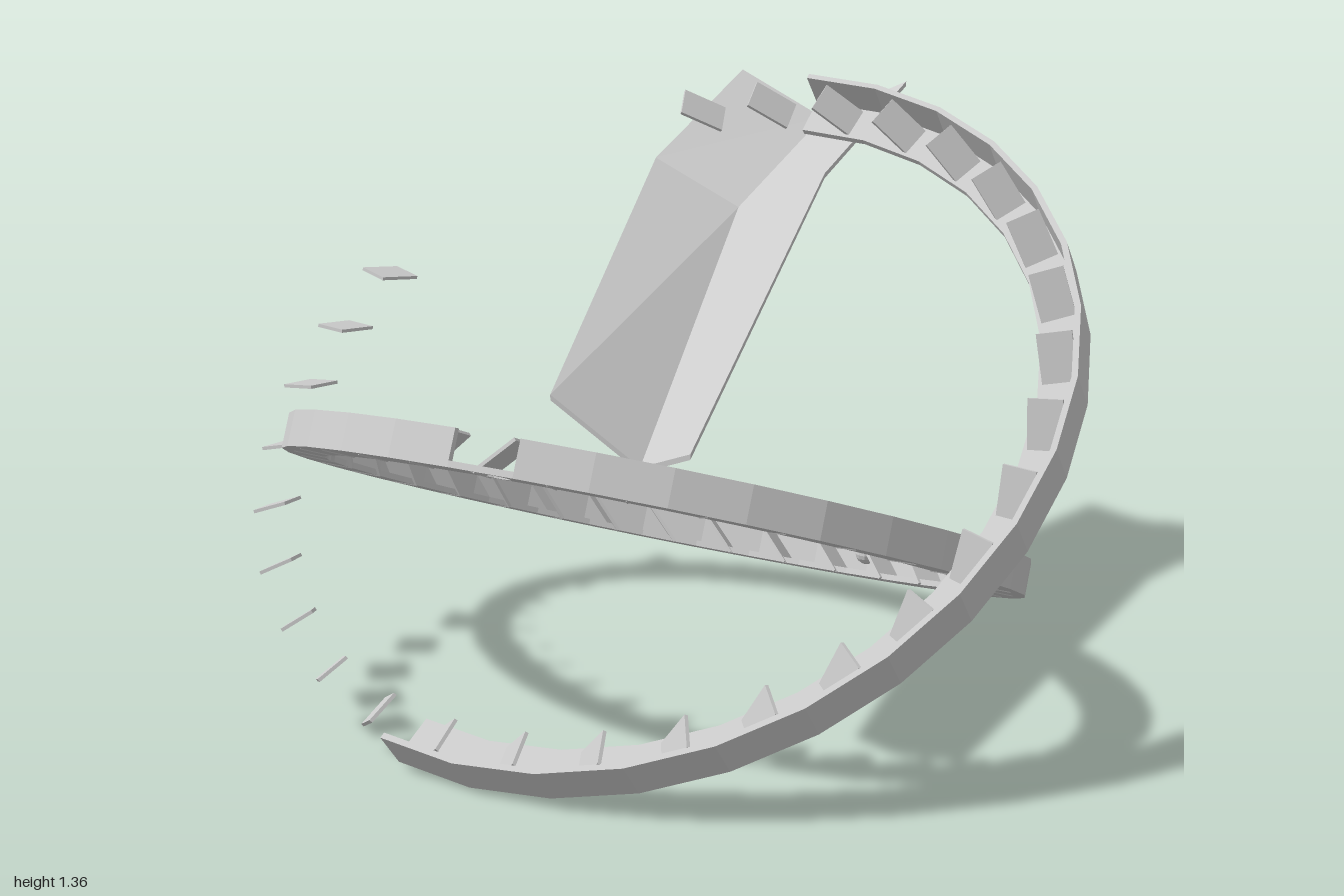
import * as THREE from 'three';

const RAD = Math.PI / 180;
const grey = new THREE.MeshStandardMaterial({ color: 0xcccccc, flatShading: true, side: THREE.DoubleSide });
grey.name = 'plain grey';

function addMesh(parent, geometry, name) {
  const mesh = new THREE.Mesh(geometry, grey);
  mesh.name = name;
  parent.add(mesh);
  return mesh;
}

// Grid of section points joined by quads
function loft(sections, closed) {
  const n = sections[0].length, index = [];
  const last = closed ? n : n - 1;
  for (let s = 0; s < sections.length - 1; s++) {
    for (let i = 0; i < last; i++) {
      const a = s * n + i, b = s * n + (i + 1) % n;
      index.push(a, b, a + n, b, b + n, a + n);
    }
  }
  if (closed) {
    const e = (sections.length - 1) * n;
    index.push(0, 2, 1, 0, 3, 2, e, e + 1, e + 2, e, e + 2, e + 3);
  }
  const g = new THREE.BufferGeometry();
  g.setAttribute('position', new THREE.Float32BufferAttribute(sections.flat(2), 3));
  g.setIndex(index);
  const flat = g.toNonIndexed();
  flat.computeVertexNormals();
  return flat;
}

// Faceted arc of rectangular section; angle runs from the rear toward -x
function arcBar(rOuter, rInner, yLow, yHigh, start, end, segments) {
  const sections = [];
  for (let s = 0; s <= segments; s++) {
    const a = (start + (end - start) * s / segments) * RAD;
    sections.push([[rOuter, yLow], [rOuter, yHigh], [rInner, yHigh], [rInner, yLow]]
      .map(([r, y]) => [-Math.sin(a) * r, y, -Math.cos(a) * r]));
  }
  return loft(sections, true);
}

// Tilted L-section track with slanted fins
function makeTrack(o) {
  const track = new THREE.Group();
  track.name = o.name;
  track.position.set(-0.015, o.y, o.z);
  track.rotation.x = o.tilt * RAD;
  const h = o.height / 2, t = 0.014;
  addMesh(track, arcBar(o.radius, o.radius - t, -h, h, o.start, o.end, o.segments), 'outerWall');
  addMesh(track, arcBar(o.radius - t, o.radius - o.depth, -h, -h + t, o.start, o.end, o.segments), 'trackFloor');
  const finGeometry = new THREE.BoxGeometry(0.008, 0.115, 0.08);
  for (let k = 0; k < 32; k++) {
    if (o.skip.includes(k)) continue;
    const pivot = new THREE.Group();
    pivot.rotation.y = (k + 0.5) * 11.25 * RAD;
    const fin = addMesh(pivot, finGeometry, 'fin');
    fin.position.z = -o.finRadius;
    fin.rotation.z = 45 * RAD;
    track.add(pivot);
  }
  return track;
}

export function createModel() {
  const model = new THREE.Group();
  model.name = 'marbleTrack';

  // Lower ring, nearly full, high at the front
  const lower = makeTrack({
    name: 'lowerRing', radius: 0.88, depth: 0.1, height: 0.083, y: 0.434, z: 0.088, tilt: -22.6,
    start: 190, end: 540, segments: 33, finRadius: 0.81, skip: [],
  });
  model.add(lower);

  // Floor plate with a drop hole, closing the gap in the lower ring
  const plate = new THREE.Shape([[0.88, 180], [0.88, 190], [0.78, 190], [0.78, 180]]
    .map(([r, a]) => new THREE.Vector2(-Math.sin(a * RAD) * r, Math.cos(a * RAD) * r)));
  const hole = new THREE.Path();
  hole.absarc(-Math.sin(185 * RAD) * 0.83, Math.cos(185 * RAD) * 0.83, 0.044, 0, Math.PI * 2, true);
  plate.holes.push(hole);
  const plateGeometry = new THREE.ExtrudeGeometry(plate, { depth: 0.014, bevelEnabled: false, curveSegments: 8 });
  plateGeometry.rotateX(-Math.PI / 2);
  addMesh(lower, plateGeometry, 'holePlate').position.y = -0.0415;

  // Upper half ring, high at the rear
  model.add(makeTrack({
    name: 'upperRing', radius: 1.015, depth: 0.11, height: 0.1, y: 0.69, z: 0.107, tilt: 39.2,
    start: -191.25, end: 0, segments: 17, finRadius: 0.95, skip: [2, 3, 4, 5],
  }));

  // Bent V-shaped chute: left rim, valley, right rim at each station
  const stations = [
    [[-0.36, 1.33, -0.925], [-0.12, 1.22, -0.925], [0.12, 1.33, -0.925]],
    [[-0.36, 1.155, -0.48], [-0.12, 1.05, -0.48], [0.12, 1.155, -0.48]],
    [[0.12, 0.865, 0.735], [0.31, 0.725, 0.69], [0.43, 0.77, 0.69]],
  ];
  const chute = new THREE.Group();
  chute.name = 'chute';
  for (const side of [0, 1]) {
    const sections = stations.map((p) => {
      const [a, b] = [p[side], p[side + 1]];
      const low = ([x, y, z]) => [x, y - 0.012, z];
      return [a, b, low(b), low(a)];
    });
    addMesh(chute, loft(sections, true), side ? 'rightChuteWing' : 'leftChuteWing');
  }
  model.add(chute);

  // Marble resting low on the rear of the lower ring
  addMesh(model, new THREE.SphereGeometry(0.028, 10, 8), 'marble').position.set(0.15, 0.135, -0.685);

  return model;
}
